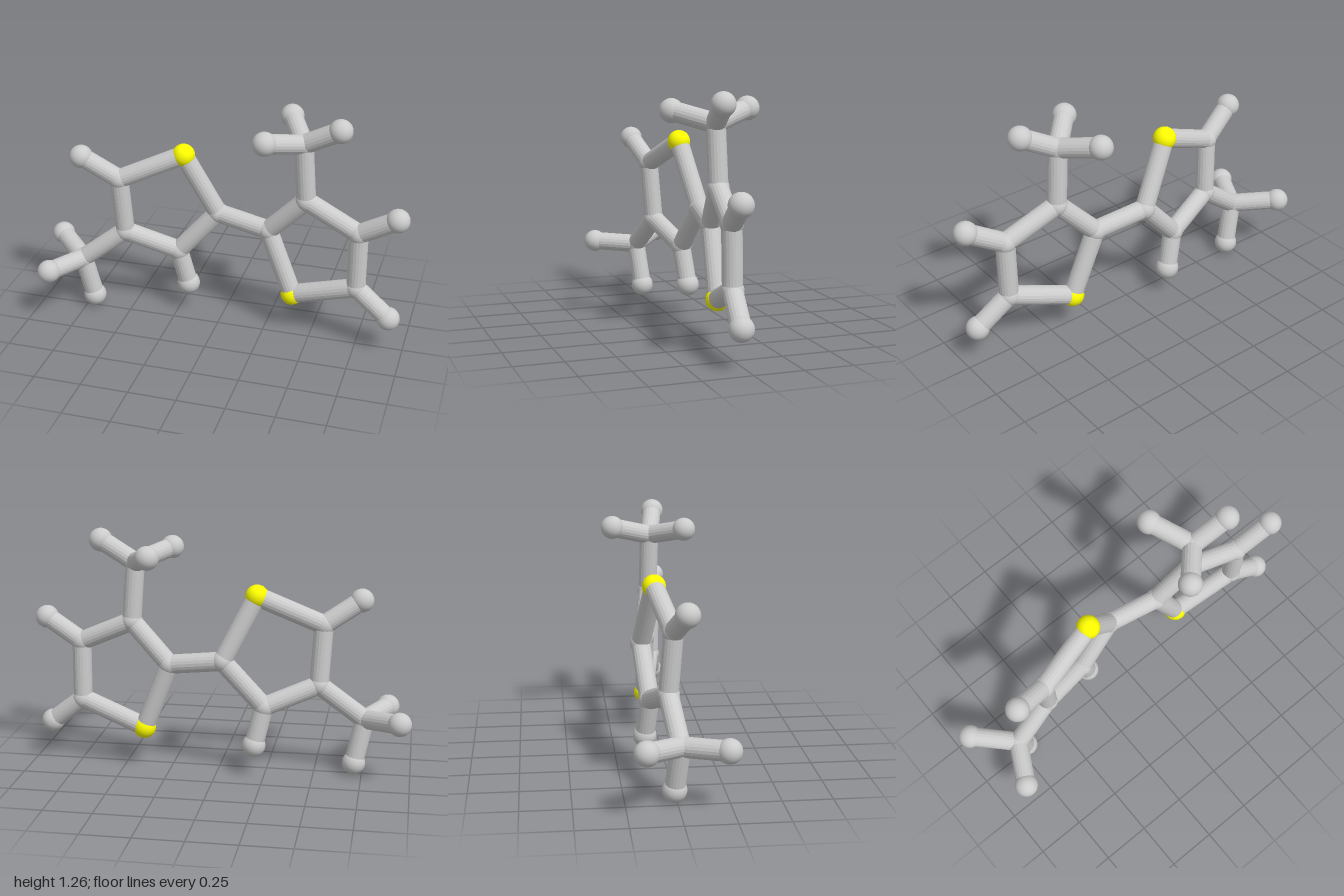
import * as THREE from 'three';

const BOND_RADIUS = 0.05;
const RADII = { carbon: 0.056, hydrogen: 0.061, sulfur: 0.06 };

// Atom centres, by element
const ATOMS = {
  carbon: {
    // left ring and its methyl
    a2: [-0.03, 0.61, -0.113], a3: [-0.243, 0.37, -0.088], a4: [-0.52, 0.48, -0.022],
    a5: [-0.537, 0.794, 0.0], aMethyl: [-0.757, 0.297, 0.01],
    // right ring and its methyl
    b2: [0.254, 0.57, -0.07], b3: [0.457, 0.783, -0.032], b4: [0.74, 0.655, 0.009],
    b5: [0.74, 0.34, 0.003], bMethyl: [0.436, 1.094, -0.025],
  },
  sulfur: {
    aS: [-0.2, 0.944, -0.06], bS: [0.393, 0.217, -0.055],
  },
  hydrogen: {
    aH3: [-0.195, 0.165, -0.108], aH5: [-0.725, 0.918, 0.045],
    aM1: [-0.94, 0.335, -0.165], aM2: [-0.87, 0.308, 0.225], aM3: [-0.708, 0.064, -0.012],
    bH4: [0.935, 0.772, 0.042], bH5: [0.918, 0.2, 0.029],
    bM1: [0.624, 1.199, 0.008], bM2: [0.33, 1.155, -0.232], bM3: [0.275, 1.148, 0.145],
  },
};

// Chains of bonded atoms
const CHAINS = [
  ['aS', 'a2', 'a3', 'a4', 'a5', 'aS'],
  ['bS', 'b2', 'b3', 'b4', 'b5', 'bS'],
  ['a2', 'b2'],
  ['a3', 'aH3'], ['a5', 'aH5'], ['b4', 'bH4'], ['b5', 'bH5'],
  ['a4', 'aMethyl', 'aM1'], ['aMethyl', 'aM2'], ['aMethyl', 'aM3'],
  ['b3', 'bMethyl', 'bM1'], ['bMethyl', 'bM2'], ['bMethyl', 'bM3'],
];

export function createModel() {
  const model = new THREE.Group();
  model.name = 'molecule';
  const grey = new THREE.MeshStandardMaterial({ color: 0xcccccc });
  const greyFlat = new THREE.MeshStandardMaterial({ color: 0xcccccc, flatShading: true });
  const yellow = new THREE.MeshStandardMaterial({ color: 0xffff00 });

  // Atom balls
  const centres = {};
  for (const [element, atoms] of Object.entries(ATOMS)) {
    const ball = new THREE.SphereGeometry(RADII[element], 28, 18);
    for (const [key, position] of Object.entries(atoms)) {
      const mesh = new THREE.Mesh(ball, element === 'sulfur' ? yellow : grey);
      mesh.name = element + 'Atom';
      mesh.position.set(...position);
      centres[key] = mesh.position;
      model.add(mesh);
    }
  }

  // Bond rods, each running from centre to centre
  const up = new THREE.Vector3(0, 1, 0);
  const rod = new THREE.CylinderGeometry(BOND_RADIUS, BOND_RADIUS, 1, 20);
  for (const chain of CHAINS) {
    for (let i = 1; i < chain.length; i++) {
      const from = centres[chain[i - 1]];
      const to = centres[chain[i]];
      const along = to.clone().sub(from);
      const mesh = new THREE.Mesh(rod, greyFlat);
      mesh.name = 'bond';
      mesh.scale.y = along.length();
      mesh.position.copy(from).add(to).multiplyScalar(0.5);
      mesh.quaternion.setFromUnitVectors(up, along.normalize());
      model.add(mesh);
    }
  }
  return model;
}
